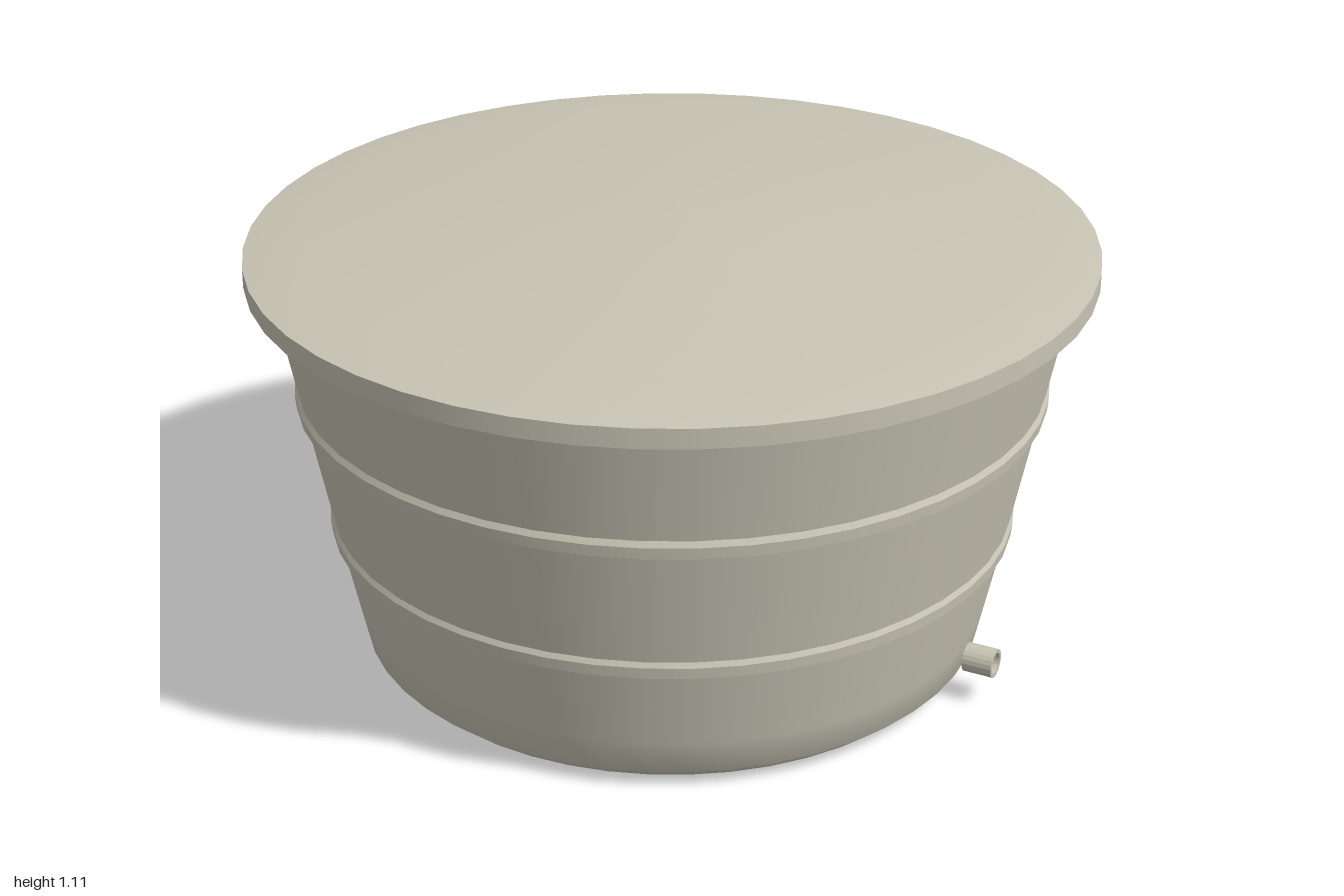
import * as THREE from 'three';

const SEGMENTS = 48;

export function createModel() {
  const group = new THREE.Group();
  const stone = new THREE.MeshStandardMaterial({ color: 0xc8c4b4, side: THREE.DoubleSide });
  stone.name = 'warm grey plastic';

  const add = (name, geometry) => {
    const mesh = new THREE.Mesh(geometry, stone);
    mesh.name = name;
    group.add(mesh);
    return mesh;
  };
  const lathe = (points, segments = SEGMENTS) =>
    new THREE.LatheGeometry(points.map(([r, y]) => new THREE.Vector2(r, y)), segments);
  // Separate straight bands keep the edges of a turned profile sharp
  const addSharp = (name, points) => {
    for (let i = 0; i < points.length - 1; i++) add(name, lathe([points[i], points[i + 1]]));
  };

  // Tapered tub with a softened bottom edge
  add('tubBase', lathe([[0, 0], [0.68, 0], [0.715, 0.008], [0.757, 0.045], [0.775, 0.13], [0.818, 0.335]]));
  add('tubWall', lathe([[0.818, 0.335], [0.948, 1.0]]));

  // Two raised hoops with bevelled edges
  for (const [y, r] of [[0.35, 0.832], [0.687, 0.899]]) {
    addSharp('hoop', [[r - 0.018, y - 0.022], [r - 0.003, y - 0.018], [r, y + 0.01], [r - 0.008, y + 0.024]]);
  }

  // Shallow domed lid with an overhanging rim
  add('lidTop', lathe([[1, 1.03], [0.86, 1.054], [0.34, 1.1], [0, 1.105]]));
  addSharp('lidRim', [[0.93, 0.983], [1, 0.983], [1, 1.03]]);

  // Hollow drain spout on the left side
  const spout = add('drainSpout', new THREE.LatheGeometry(
    [[0.026, 0], [0.035, 0], [0.035, 0.073], [0.026, 0.073], [0.026, 0]].map(([r, y]) => new THREE.Vector2(r, y)), 20).toNonIndexed());
  spout.geometry.computeVertexNormals();
  spout.rotation.z = -Math.PI / 2;
  spout.position.set(0.785, 0.105, 0);

  return group;
}
